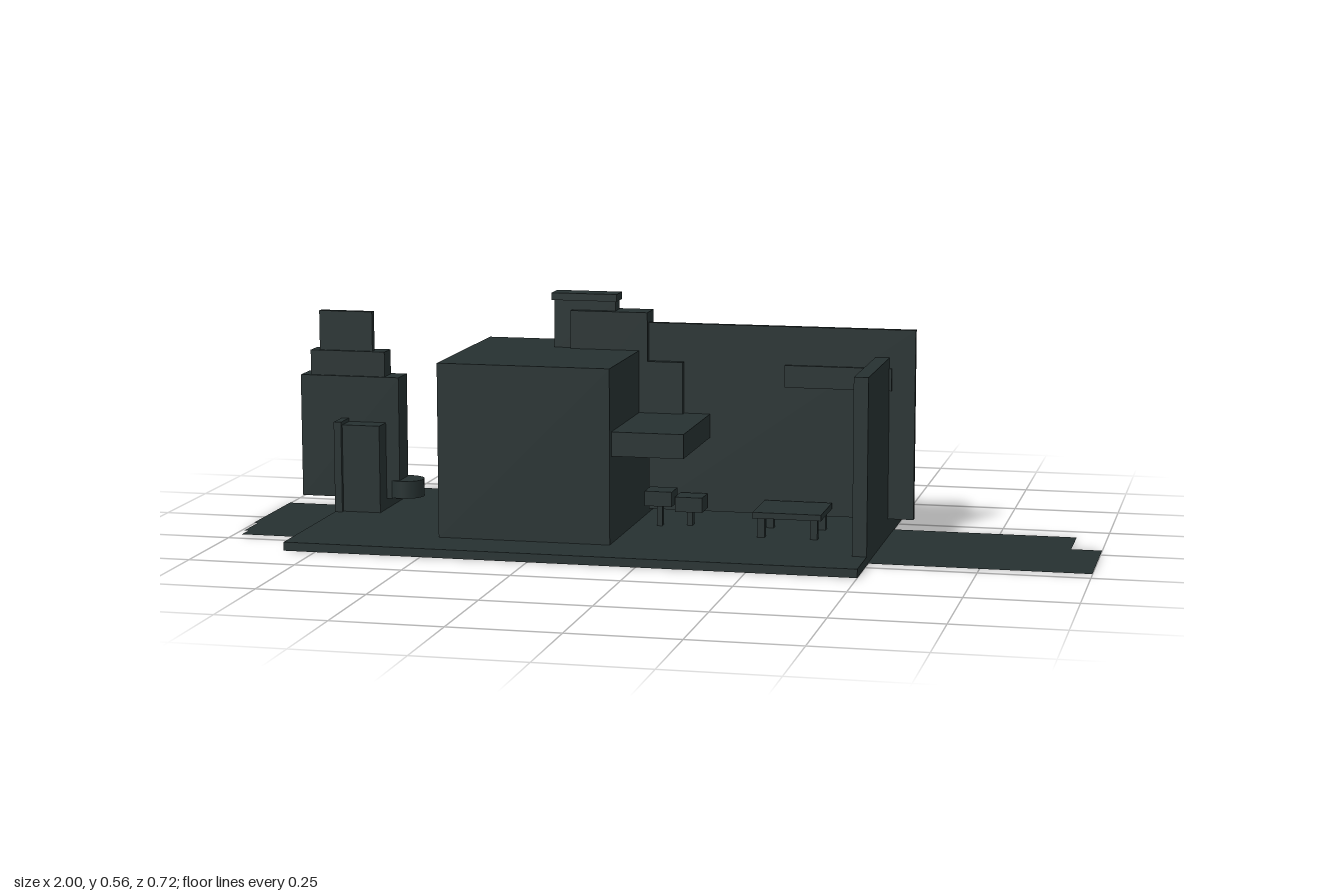
import * as THREE from 'three';

export function createModel() {
  const root = new THREE.Group();
  const slate = new THREE.MeshStandardMaterial({ color: 0x263131 });
  slate.name = 'dark slate';
  slate.side = THREE.DoubleSide;

  // box given by its limits on each axis
  const box = (name, x0, x1, y0, y1, z0, z1, parent = root) => {
    const mesh = new THREE.Mesh(new THREE.BoxGeometry(x1 - x0, y1 - y0, z1 - z0), slate);
    mesh.position.set((x0 + x1) / 2, (y0 + y1) / 2, (z0 + z1) / 2);
    mesh.name = name;
    parent.add(mesh);
    return mesh;
  };
  const group = (name) => {
    const g = new THREE.Group();
    g.name = name;
    root.add(g);
    return g;
  };

  // ground sheet with stepped ends, and the base slab
  const outline = [[-1, -0.175], [0.93, -0.175], [0.93, -0.04], [1, -0.04], [1, 0.215],
    [-0.98, 0.215], [-0.98, 0.17], [-0.99, 0.17], [-0.99, 0.08], [-1, 0.08]];
  const sheet = new THREE.ShapeGeometry(new THREE.Shape(outline.map(([x, z]) => new THREE.Vector2(x, -z))));
  sheet.rotateX(-Math.PI / 2);
  const ground = new THREE.Mesh(sheet, slate);
  ground.position.y = 0.002;
  ground.name = 'groundSheet';
  root.add(ground);
  box('baseSlab', -0.825, 0.5, 0, 0.02, -0.342, 0.36);

  // main building with side canopy
  box('mainBlock', -0.495, -0.09, 0.02, 0.425, -0.213, 0.23);
  box('canopy', -0.09, 0.077, 0.222, 0.278, -0.2, 0.212);

  // chimney group rising from the roof
  const chimney = group('chimney');
  box('chimneyBody', -0.255, -0.07, 0.28, 0.515, -0.13, -0.063, chimney);
  box('chimneyShoulder', -0.09, 0.015, 0.27, 0.4, -0.13, -0.063, chimney);
  box('chimneyNeck', -0.298, -0.15, 0.42, 0.538, -0.116, -0.078, chimney);
  box('chimneyCap', -0.303, -0.145, 0.538, 0.555, -0.125, -0.069, chimney);

  // tall thin panel, end wall and cross beam
  box('backPanel', -0.07, 0.56, 0.046, 0.49, -0.094, -0.079);
  box('endWall', 0.467, 0.5, 0.02, 0.425, -0.21, 0.23);
  box('crossBeam', 0.255, 0.506, 0.348, 0.4, -0.124, -0.072);

  // rear wall and its staircase
  box('rearWall', 0.082, 0.5, 0.02, 0.35, -0.276, -0.213);
  const stairs = group('stairs');
  const steps = 6, run = (0.372 - 0.09) / steps, rise = (0.217 - 0.02) / steps;
  for (let i = 0; i < steps; i++) {
    const top = 0.02 + rise * (i + 1);
    box('step', 0.09 + run * i, 0.09 + run * (i + 1), Math.max(0.02, top - rise * 1.7), top, -0.358, -0.276, stairs);
  }

  // low table
  const table = group('table');
  box('tableTop', 0.21, 0.37, 0.066, 0.08, -0.07, 0.08, table);
  for (const x of [0.22, 0.343])
    for (const z of [-0.06, 0.053]) box('tableLeg', x, x + 0.017, 0.02, 0.067, z, z + 0.017, table);

  // two small seats under the canopy
  const seats = group('seats');
  for (const [x, z, h] of [[-0.03, -0.02, 0.105], [0.038, -0.04, 0.09]]) {
    box('seatTop', x - 0.03, x + 0.035, h - 0.035, h, z - 0.03, z + 0.03, seats);
    box('seatLeg', x - 0.005, x + 0.008, 0.02, h - 0.03, z - 0.01, z + 0.01, seats);
  }

  // two cabinets, each with a thin door on its left edge
  for (const [x0, x1] of [[-0.825, -0.715], [-0.565, -0.495]]) {
    const cabinet = group('cabinet');
    box('cabinetBody', x0 + 0.018, x1, 0.02, 0.23, -0.193, -0.015, cabinet);
    box('cabinetDoor', x0, x0 + 0.018, 0.02, 0.238, -0.203, -0.005, cabinet);
  }
  box('doorHandle', -0.575, -0.563, 0.05, 0.098, -0.12, -0.08);

  // stepped tower
  const tower = group('tower');
  box('towerBody', -0.927, -0.682, 0.045, 0.34, -0.135, -0.067, tower);
  box('towerShoulder', -0.903, -0.718, 0.34, 0.4, -0.122, -0.073, tower);
  box('towerTop', -0.882, -0.75, 0.4, 0.495, -0.097, -0.08, tower);

  // round stand beside the tower
  const stand = new THREE.Mesh(new THREE.CylinderGeometry(0.043, 0.043, 0.042, 24), slate);
  stand.position.set(-0.675, 0.069, -0.1);
  stand.name = 'roundStand';
  root.add(stand);

  return root;
}
